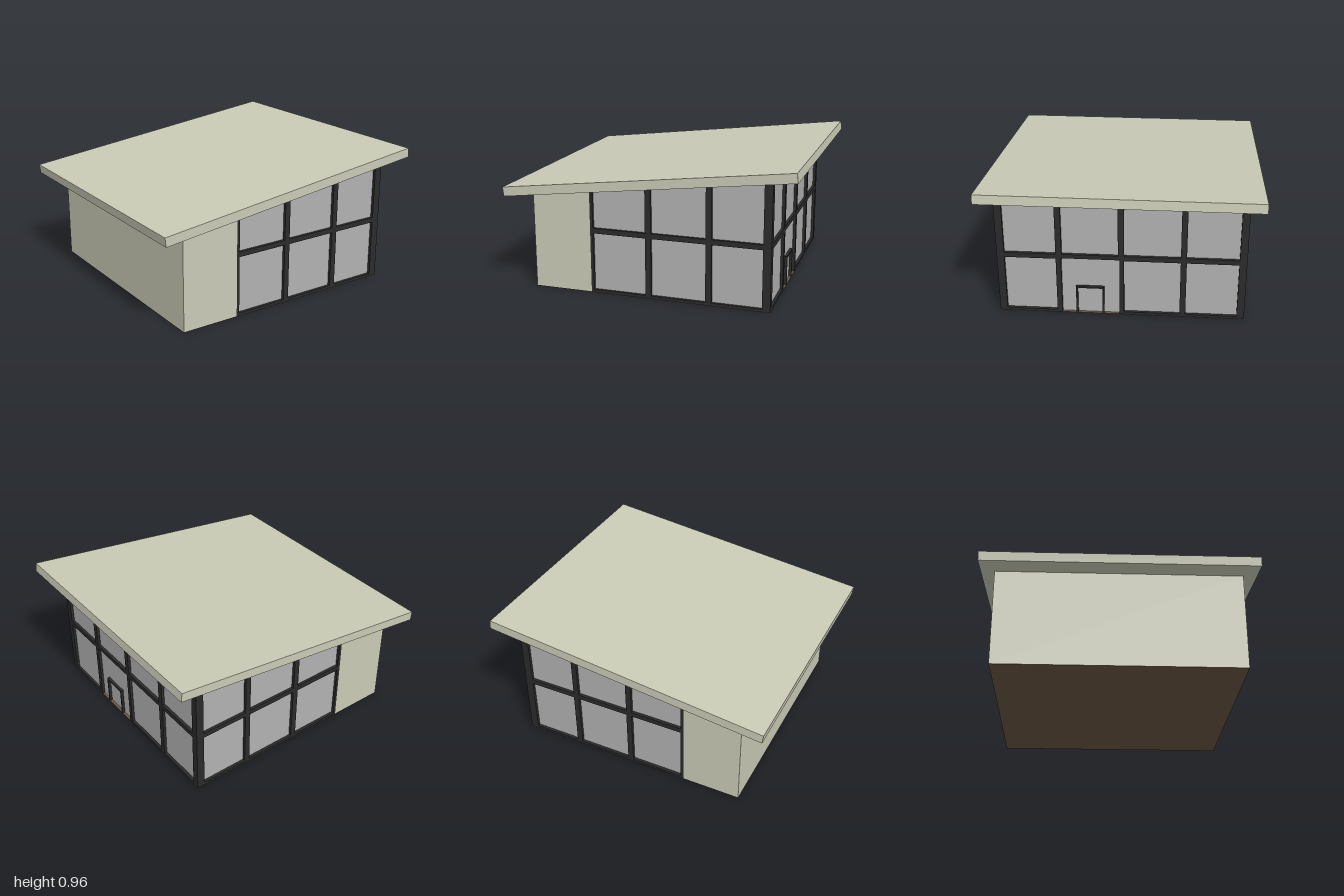
import * as THREE from 'three';

const mat = (color) => new THREE.MeshStandardMaterial({ color, flatShading: true });
const WALL = mat(0xcacbb6), FRAME = mat(0x2b2b2b), GLASS = mat(0xb2b2b2), FLOOR = mat(0x6b5843);

const TILT = 0.1204;                 // roof pitch
const BASE = 0.003;                  // top of the floor slab
const DEPTH = 0.02;                  // depth of the window frames
const HALF = 0.83;                   // half depth of the house
const under = (x) => 0.7715 + x * Math.tan(TILT);   // underside of the roof

const shapeOf = (pts) => new THREE.Shape(pts.map(([x, y]) => new THREE.Vector2(x, y)));
const pathOf = (pts) => new THREE.Path(pts.map(([x, y]) => new THREE.Vector2(x, y)));

function mesh(name, geometry, material, parent) {
  const m = new THREE.Mesh(geometry, material);
  m.name = name;
  parent.add(m);
  return m;
}

const extrude = (shape, depth) => new THREE.ExtrudeGeometry(shape, { depth, bevelEnabled: false });

// Solid between two x positions whose top follows the roof
function slopedBlock(x0, x1, halfZ) {
  const s = shapeOf([[x0, BASE], [x1, BASE], [x1, under(x1)], [x0, under(x0)]]);
  return extrude(s, halfZ * 2).translate(0, 0, -halfZ);
}

// Cut a lower and an upper pane into a frame
function cutBay(shape, a, b, top, hasLower = true) {
  if (hasLower) shape.holes.push(pathOf([[a, 0.02], [b, 0.02], [b, 0.42], [a, 0.42]]));
  shape.holes.push(pathOf([[a, 0.455], [b, 0.455], [b, top(b)], [a, top(a)]]));
}

export function createModel() {
  const house = new THREE.Group();
  house.name = 'house';

  // Floor slab
  mesh('floor', new THREE.BoxGeometry(1.65, BASE, HALF * 2), FLOOR, house)
    .position.set(0.005, BASE / 2, 0);

  // Closed end of the house
  mesh('solidWalls', slopedBlock(-0.82, -0.41, HALF), WALL, house);

  // Glazing set back behind the frames
  mesh('glazing', slopedBlock(-0.41, HALF - DEPTH, HALF - DEPTH), GLASS, house);

  // Sloped window frames, front and back
  const side = shapeOf([[-0.41, BASE], [HALF, BASE], [HALF, under(HALF)], [-0.41, under(-0.41)]]);
  for (const [a, b] of [[-0.39, -0.02], [0.02, 0.395], [0.435, 0.775]]) {
    cutBay(side, a, b, (x) => under(x) - 0.019);
  }
  mesh('frontWindowFrame', extrude(side, DEPTH), FRAME, house).position.z = HALF - DEPTH;
  mesh('backWindowFrame', extrude(side, DEPTH), FRAME, house).position.z = -HALF;

  // Entrance wall frame, with one lower bay open to the ground
  const top = under(HALF);
  const entrance = shapeOf([
    [-HALF, BASE], [-0.4, BASE], [-0.4, 0.425], [-0.01, 0.425], [-0.01, BASE],
    [HALF, BASE], [HALF, top], [-HALF, top],
  ]);
  [[-0.78, -0.435], [-0.395, -0.02], [0.02, 0.395], [0.435, 0.78]].forEach(([a, b], i) => {
    cutBay(entrance, a, b, () => 0.848, i !== 1);
  });
  const entranceWall = new THREE.Group();
  entranceWall.name = 'entranceWall';
  entranceWall.rotation.y = Math.PI / 2;
  entranceWall.position.x = HALF - DEPTH;
  house.add(entranceWall);
  mesh('entranceWindowFrame', extrude(entrance, DEPTH), FRAME, entranceWall);

  // Door surround
  const door = shapeOf([
    [-0.305, BASE], [-0.293, BASE], [-0.293, 0.198], [-0.127, 0.198],
    [-0.127, BASE], [-0.115, BASE], [-0.115, 0.21], [-0.305, 0.21],
  ]);
  mesh('doorFrame', extrude(door, DEPTH), FRAME, entranceWall);

  // Overhanging pitched roof
  const roof = mesh('roof', new THREE.BoxGeometry(2.007, 0.064, 1.845), WALL, house);
  roof.position.y = 0.804;
  roof.rotation.z = TILT;

  return house;
}
